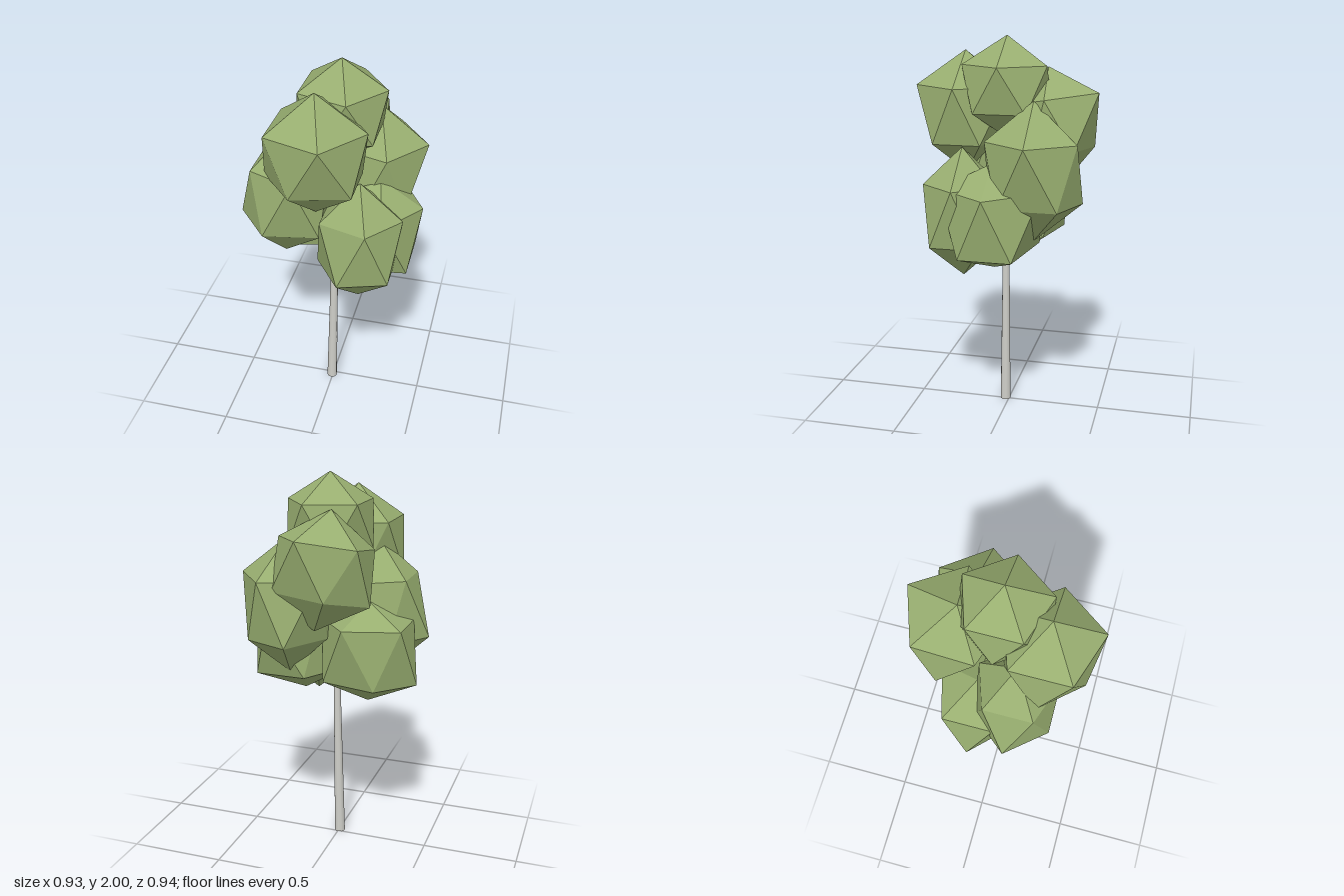
import * as THREE from 'three';

const leafGreen = new THREE.MeshStandardMaterial({ color: 0x98ae70, flatShading: true });
leafGreen.name = 'leafGreen';
const barkGrey = new THREE.MeshStandardMaterial({ color: 0xcfcfc9 });
barkGrey.name = 'barkGrey';

// Faceted leaf clump: one corner points up, one upper corner points to +x.
// radii are the half sizes, tilt turns about x and z, shoulder spreads the two rings
// of corners apart, and lower widens or narrows the lower ring along x and z.
function leafClump({ name, at, radii, tilt = [0, 0], shoulder = 1, lower = [1, 1] }) {
  const geometry = new THREE.IcosahedronGeometry(1, 0);
  geometry.rotateZ(-Math.atan(2 / (1 + Math.sqrt(5))));
  const p = geometry.attributes.position;
  for (let i = 0; i < p.count; i++) {
    const y = p.getY(i);
    if (Math.abs(y) < 0.9) p.setY(i, y * shoulder);
    if (y < 0) {
      p.setX(i, p.getX(i) * lower[0]);
      p.setZ(i, p.getZ(i) * lower[1]);
    }
  }
  geometry.scale(...radii);
  geometry.rotateX(tilt[0]);
  geometry.rotateZ(tilt[1]);
  const clump = new THREE.Mesh(geometry, leafGreen);
  clump.name = name;
  clump.position.set(...at);
  return clump;
}

export function createModel() {
  const tree = new THREE.Group();
  tree.name = 'tree';

  // Slender, slightly leaning trunk running up into the crown
  const base = new THREE.Vector3(-0.005, 0, 0.02);
  const tip = new THREE.Vector3(0.015, 1.25, 0.01);
  const trunkGeometry = new THREE.CylinderGeometry(0.014, 0.028, 1.25, 10);
  trunkGeometry.translate(0, 0.625, 0);
  // Shear instead of rotating, so the foot stays flat on the ground
  const p = trunkGeometry.attributes.position;
  for (let i = 0; i < p.count; i++) {
    const t = p.getY(i) / 1.25;
    p.setX(i, p.getX(i) + THREE.MathUtils.lerp(base.x, tip.x, t));
    p.setZ(i, p.getZ(i) + THREE.MathUtils.lerp(base.z, tip.z, t));
  }
  const trunk = new THREE.Mesh(trunkGeometry, barkGrey);
  trunk.name = 'trunk';
  tree.add(trunk);

  // Crown of overlapping clumps
  const crown = new THREE.Group();
  crown.name = 'crown';
  [
    { name: 'topClump', at: [0.04, 1.743, 0], radii: [0.255, 0.257, 0.255] },
    { name: 'upperFrontClump', at: [-0.033, 1.602, 0.235], radii: [0.285, 0.318, 0.285], lower: [1, 0.83] },
    { name: 'upperBackClump', at: [-0.005, 1.55, -0.245], radii: [0.28, 0.298, 0.29], tilt: [0.16, 0.1], lower: [1.05, 0.7] },
    { name: 'middleRightClump', at: [0.203, 1.345, -0.17], radii: [0.28, 0.355, 0.27], lower: [0.82, 1.05] },
    { name: 'middleLeftClump', at: [-0.205, 1.302, 0.12], radii: [0.228, 0.358, 0.235], tilt: [0, -0.06], lower: [1.2, 0.98] },
    { name: 'lowerFrontClump', at: [0.18, 1.118, 0.2], radii: [0.242, 0.338, 0.222], lower: [1, 1.1] },
    { name: 'lowerRightClump', at: [0.22, 1.115, 0.03], radii: [0.262, 0.278, 0.305], tilt: [0, -0.1], shoulder: 1.28, lower: [1.15, 0.85] },
    { name: 'lowerLeftClump', at: [-0.19, 1.11, -0.075], radii: [0.28, 0.265, 0.245], shoulder: 1.3, lower: [1.03, 0.86] },
  ].forEach((clump) => crown.add(leafClump(clump)));
  tree.add(crown);

  return tree;
}
